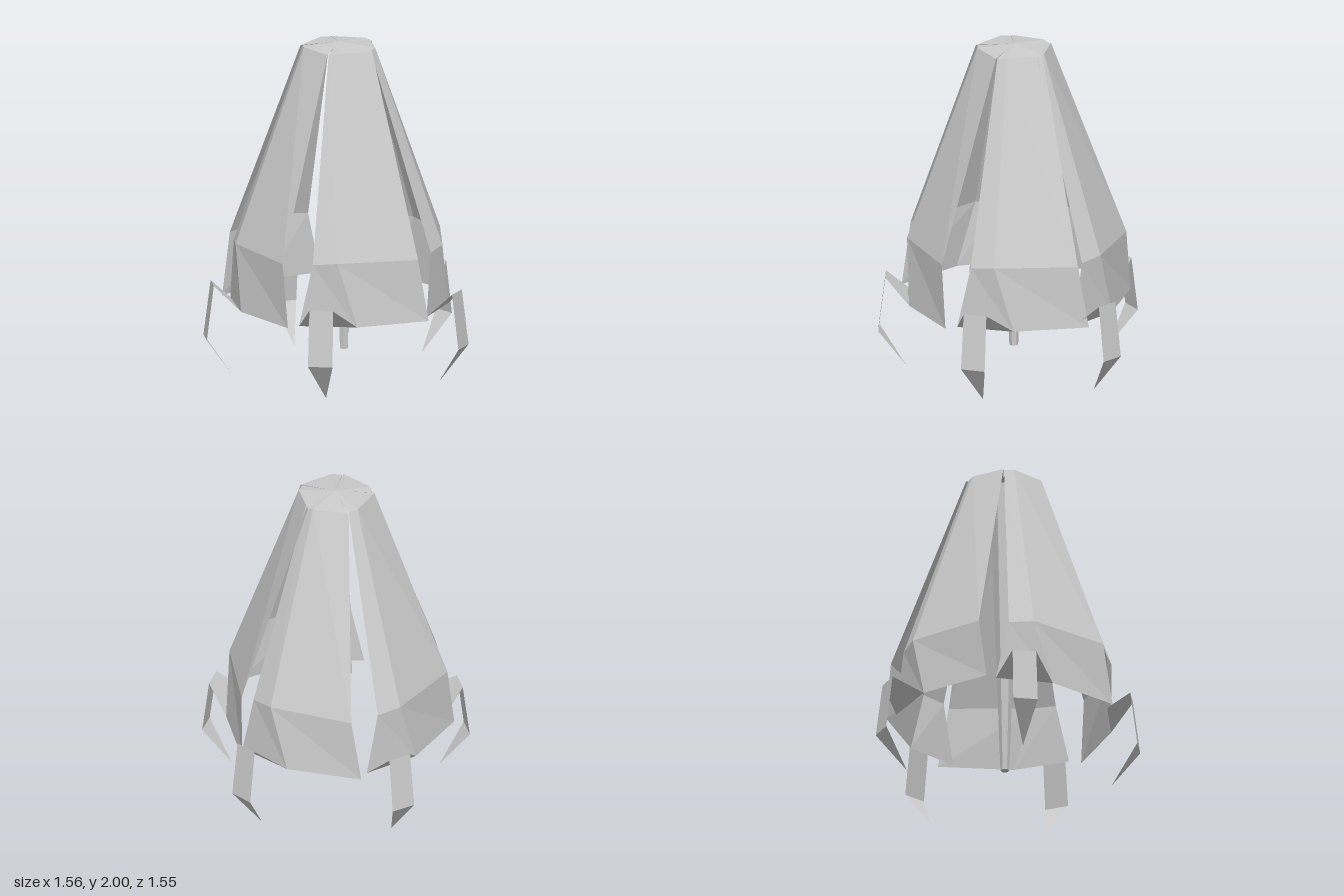
import * as THREE from 'three';

const material = new THREE.MeshStandardMaterial({ color: 0xcccccc, flatShading: true, side: THREE.DoubleSide });

// Point from an angle (degrees, 0 = +z, growing towards +x), radius and height
const polar = (deg, r, y) => {
  const a = THREE.MathUtils.degToRad(deg);
  return new THREE.Vector3(Math.sin(a) * r, y, Math.cos(a) * r);
};

// Faceted sheet through rows of points running from the inside/top outwards
function sheet(name, rows) {
  const pos = [];
  const tri = (a, b, c) => {
    if (!a.equals(b) && !b.equals(c) && !a.equals(c)) pos.push(...a, ...b, ...c);
  };
  for (let i = 0; i < rows.length - 1; i++) {
    for (let j = 0; j < rows[i].length - 1; j++) {
      const [a, b] = [rows[i][j], rows[i][j + 1]];
      const [c, d] = [rows[i + 1][j], rows[i + 1][j + 1]];
      tri(a, c, d);
      tri(a, d, b);
    }
  }
  const geometry = new THREE.BufferGeometry();
  geometry.setAttribute('position', new THREE.Float32BufferAttribute(pos, 3));
  geometry.computeVertexNormals();
  const mesh = new THREE.Mesh(geometry, material);
  mesh.name = name;
  return mesh;
}

function createSegment() {
  const segment = new THREE.Group();
  segment.name = 'segment';

  // Folded shell panel: cap wedge, long sloping part, steep skirt
  const apex = polar(0, 0, 2);
  const hem = [polar(-20.5, 0.645, 0.43), polar(10.5, 0.64, 0.43), polar(49.5, 0.7, 0.425)];
  segment.add(sheet('shellPanel', [
    [apex, apex, apex],
    [polar(-16, 0.218, 1.975), polar(0, 0.218, 1.98), polar(57, 0.23, 1.975)],
    [polar(-13.5, 0.622, 0.8), polar(0, 0.632, 0.815), polar(45, 0.665, 0.8)],
    hem,
  ]));

  // Thin claw growing from the hem, bent down and back in to a point
  const across = (half, r, y) => [-half, half].map(
    (x) => new THREE.Vector3(x, y, r).applyAxisAngle(new THREE.Vector3(0, 1, 0), THREE.MathUtils.degToRad(-7)));
  const tip = polar(-6, 0.635, 0);
  segment.add(sheet('claw', [
    [hem[0], hem[1]],
    across(0.07, 0.755, 0.56),
    across(0.073, 0.797, 0.23),
    [tip, tip],
  ]));
  return segment;
}

export function createModel() {
  const model = new THREE.Group();
  model.name = 'clawedPod';
  const body = new THREE.Group();
  body.name = 'body';
  body.position.set(0.005, 0, -0.03);
  model.add(body);

  // Five segments, turned slightly more than a fifth so the last pair overlaps
  for (let i = 0; i < 5; i++) {
    const segment = createSegment();
    segment.rotation.y = THREE.MathUtils.degToRad(138.7 + 74 * i);
    body.add(segment);
  }

  // Tapered central spike hanging from the cap
  const spike = new THREE.Mesh(new THREE.CylinderGeometry(0.09, 0.026, 1.83, 6), material);
  spike.name = 'centralSpike';
  spike.position.set(0.025, 0.14 + 1.83 / 2, 0.005);
  body.add(spike);

  return model;
}
